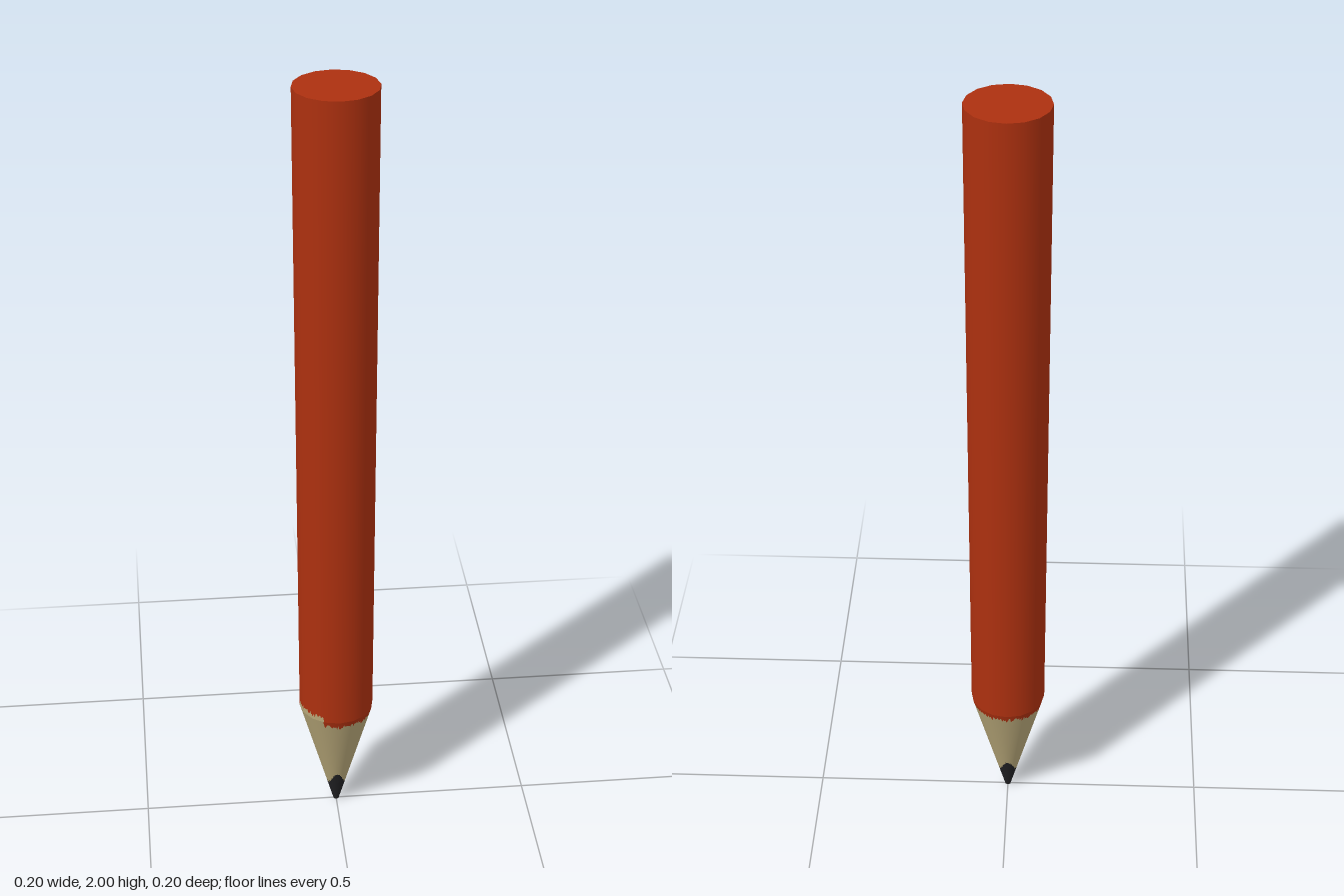
import * as THREE from 'three';

const SIDES = 16, STEPS = 192;
const HEIGHT = 2, SHOULDER = 0.31;
const TIP_R = 0.007, SHOULDER_R = 0.095, TOP_R = 0.102;

const redPaint = new THREE.MeshStandardMaterial({ color: 0xac300f });
const bareWood = new THREE.MeshStandardMaterial({ color: 0xb5a577 });
const darkLead = new THREE.MeshStandardMaterial({ color: 0x212124 });

// seeded ragged offset, -1 to 1
const rough = (i, seed) => {
  const s = Math.sin((i % STEPS) * 12.9898 + seed * 78.233) * 43758.5453;
  return (s - Math.floor(s)) * 2 - 1;
};
const angleOf = (i) => ((i % STEPS) / STEPS) * Math.PI * 2;

// height of the lead: climbs at the front and back
const leadEdge = (i) => 0.064 + 0.036 * Math.pow(Math.cos(angleOf(i)), 6) + 0.004 * rough(i, 1);

// lower edge of the paint: one worn patch at the front, on the -x side
const paintEdge = (i) => {
  const d = Math.abs(angleOf(i) - Math.PI * 1.68);
  const worn = d < 0.55 ? 0.03 : 0;
  return 0.293 + worn + 0.008 * rough(i, 2);
};

// radius of the sixteen-sided section at angle a and height y
function radiusAt(a, y) {
  const r = y <= SHOULDER
    ? TIP_R + (SHOULDER_R - TIP_R) * (y / SHOULDER)
    : SHOULDER_R + (TOP_R - SHOULDER_R) * (y - SHOULDER) / (HEIGHT - SHOULDER);
  const side = (Math.PI * 2) / SIDES;
  const local = (a % side) - side / 2;
  return r * Math.cos(side / 2) / Math.cos(local);
}

// smooth band of skin between two edges given as functions of the step
function band(name, material, low, high, slope) {
  const pos = [], nor = [], idx = [];
  for (let i = 0; i <= STEPS; i++) {
    const a = angleOf(i);
    const n = new THREE.Vector3(Math.sin(a), slope, Math.cos(a)).normalize();
    for (const y of [low(i), high(i)]) {
      const r = radiusAt(a, y);
      pos.push(Math.sin(a) * r, y, Math.cos(a) * r);
      nor.push(n.x, n.y, n.z);
    }
    if (i < STEPS) {
      const k = i * 2;
      idx.push(k, k + 2, k + 3, k, k + 3, k + 1);
    }
  }
  const g = new THREE.BufferGeometry();
  g.setAttribute('position', new THREE.Float32BufferAttribute(pos, 3));
  g.setAttribute('normal', new THREE.Float32BufferAttribute(nor, 3));
  g.setIndex(idx);
  const mesh = new THREE.Mesh(g, material);
  mesh.name = name;
  return mesh;
}

// flat end disc
function endCap(name, material, radius, y, up) {
  const g = new THREE.CircleGeometry(radius, SIDES);
  g.rotateX(up ? -Math.PI / 2 : Math.PI / 2);
  g.translate(0, y, 0);
  const mesh = new THREE.Mesh(g, material);
  mesh.name = name;
  return mesh;
}

export function createModel() {
  const pencil = new THREE.Group();
  pencil.name = 'pencil';
  const coneSlope = -(SHOULDER_R - TIP_R) / SHOULDER;
  const shoulder = () => SHOULDER;
  const belowShoulder = (i) => Math.min(paintEdge(i), SHOULDER);
  const aboveShoulder = (i) => Math.max(paintEdge(i), SHOULDER);

  pencil.add(
    // sharpened end
    endCap('leadPoint', darkLead, TIP_R, 0, false),
    band('lead', darkLead, () => 0, leadEdge, coneSlope),
    band('woodCone', bareWood, leadEdge, belowShoulder, coneSlope),
    band('wornWood', bareWood, shoulder, aboveShoulder, 0),
    // painted barrel
    band('paintFringe', redPaint, belowShoulder, shoulder, coneSlope),
    band('barrel', redPaint, aboveShoulder, () => HEIGHT, 0),
    endCap('barrelEnd', redPaint, TOP_R, HEIGHT, true),
  );
  return pencil;
}
